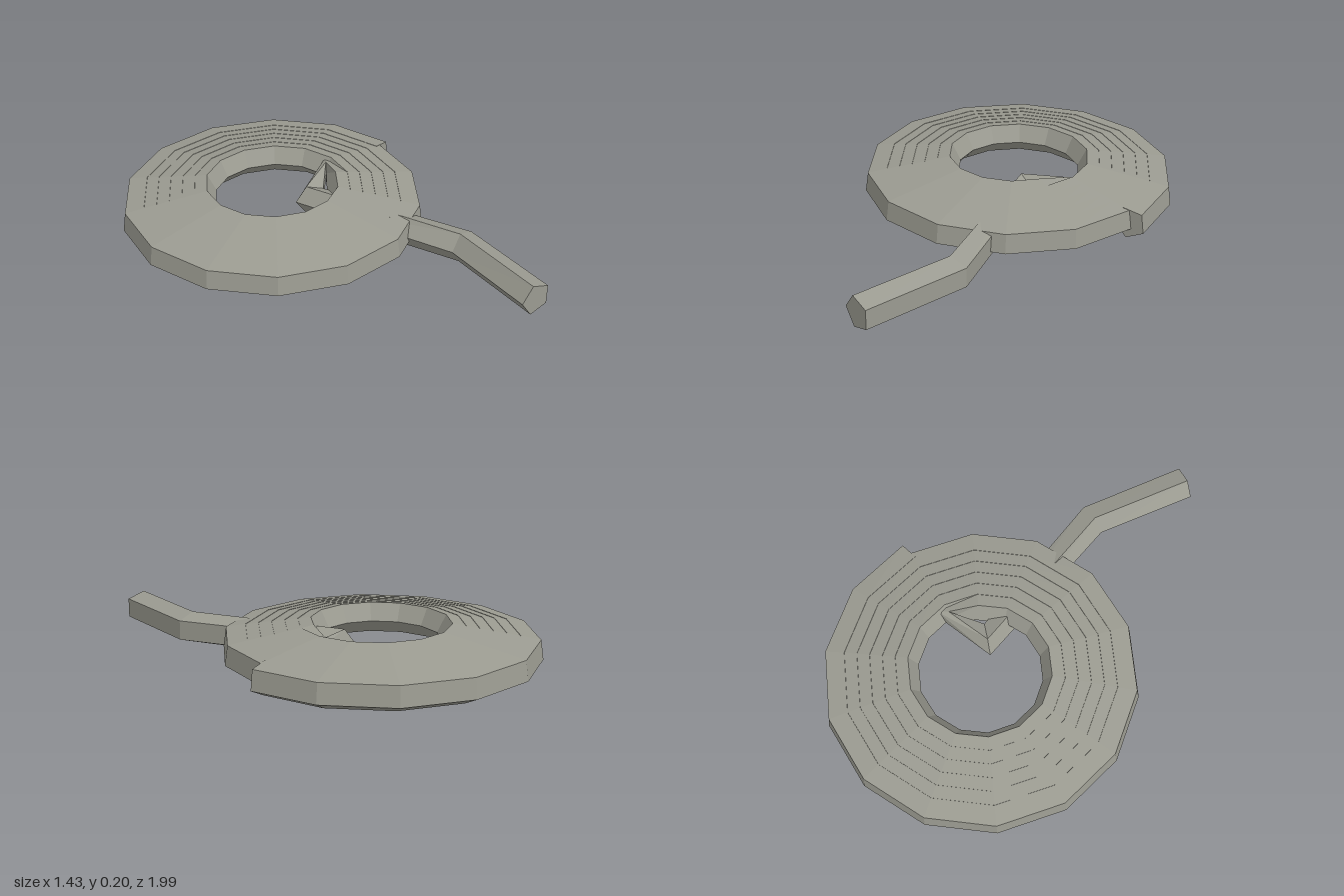
import * as THREE from 'three';

const SIDES = 5;
const TUBE = 0.075;

// Sweeps a five-sided section along a list of { p, phase, scale }, with closed ends
function sweep(path) {
  const pos = [], index = [], last = path.length - 1;
  const direction = (a, b) => {
    const d = path[b].p.clone().sub(path[a].p);
    return d.setY(0).normalize();
  };
  path.forEach(({ p, phase, scale }, j) => {
    const t = new THREE.Vector3();
    if (j > 0) t.add(direction(j - 1, j));
    if (j < last) t.add(direction(j, j + 1));
    t.normalize();
    const side = new THREE.Vector3(t.z, 0, -t.x); // left of travel
    for (let i = 0; i < SIDES; i++) {
      const a = phase + (i / SIDES) * Math.PI * 2;
      const r = TUBE * scale;
      const v = p.clone().addScaledVector(side, r * Math.cos(a));
      pos.push(v.x, v.y + r * Math.sin(a), v.z);
    }
  });
  for (let j = 0; j < last; j++) {
    for (let i = 0; i < SIDES; i++) {
      const n = (i + 1) % SIDES;
      const a = j * SIDES + i, b = j * SIDES + n;
      index.push(a, b, a + SIDES, b, b + SIDES, a + SIDES);
    }
  }
  for (let i = 1; i < SIDES - 1; i++) {
    const e = last * SIDES;
    index.push(0, i + 1, i, e, e + i, e + i + 1);
  }
  const g = new THREE.BufferGeometry();
  g.setAttribute('position', new THREE.Float32BufferAttribute(pos, 3));
  g.setIndex(index);
  const flat = g.toNonIndexed();
  flat.computeVertexNormals();
  return flat;
}

export function createModel() {
  const metal = new THREE.MeshStandardMaterial({ color: 0x9b9b91 });
  metal.name = 'grey metal';

  // Spiral: six turns of fourteen segments, rising towards the middle
  const perTurn = 14, steps = perTurn * 6, tilt = THREE.MathUtils.degToRad(-8);
  const path = [];
  for (let k = 0; k < steps; k++) {
    const a = (k / perTurn) * Math.PI * 2, f = k / steps;
    const r = 0.665 - 0.348 * f;
    path.push({
      p: new THREE.Vector3(-0.016 + r * Math.cos(a), 0.077 + 0.052 * f, -0.295 - r * Math.sin(a)),
      phase: tilt, scale: 1,
    });
  }

  // Pinched turn at the inner end, then the tail passing out below the coil
  path.push({ p: new THREE.Vector3(0.305, 0.135, -0.31), phase: tilt, scale: 0.6 });
  for (const [x, y, z] of [[0.12, 0.085, -0.2], [0.385, 0.07, 0.515], [0.325, 0.071, 0.99]]) {
    path.push({ p: new THREE.Vector3(x, y, z), phase: Math.PI / 5, scale: 1 });
  }

  const coil = new THREE.Mesh(sweep(path), metal);
  coil.name = 'coiledTubeWithTail';
  const model = new THREE.Group();
  model.name = 'spiralCoil';
  model.add(coil);
  return model;
}
